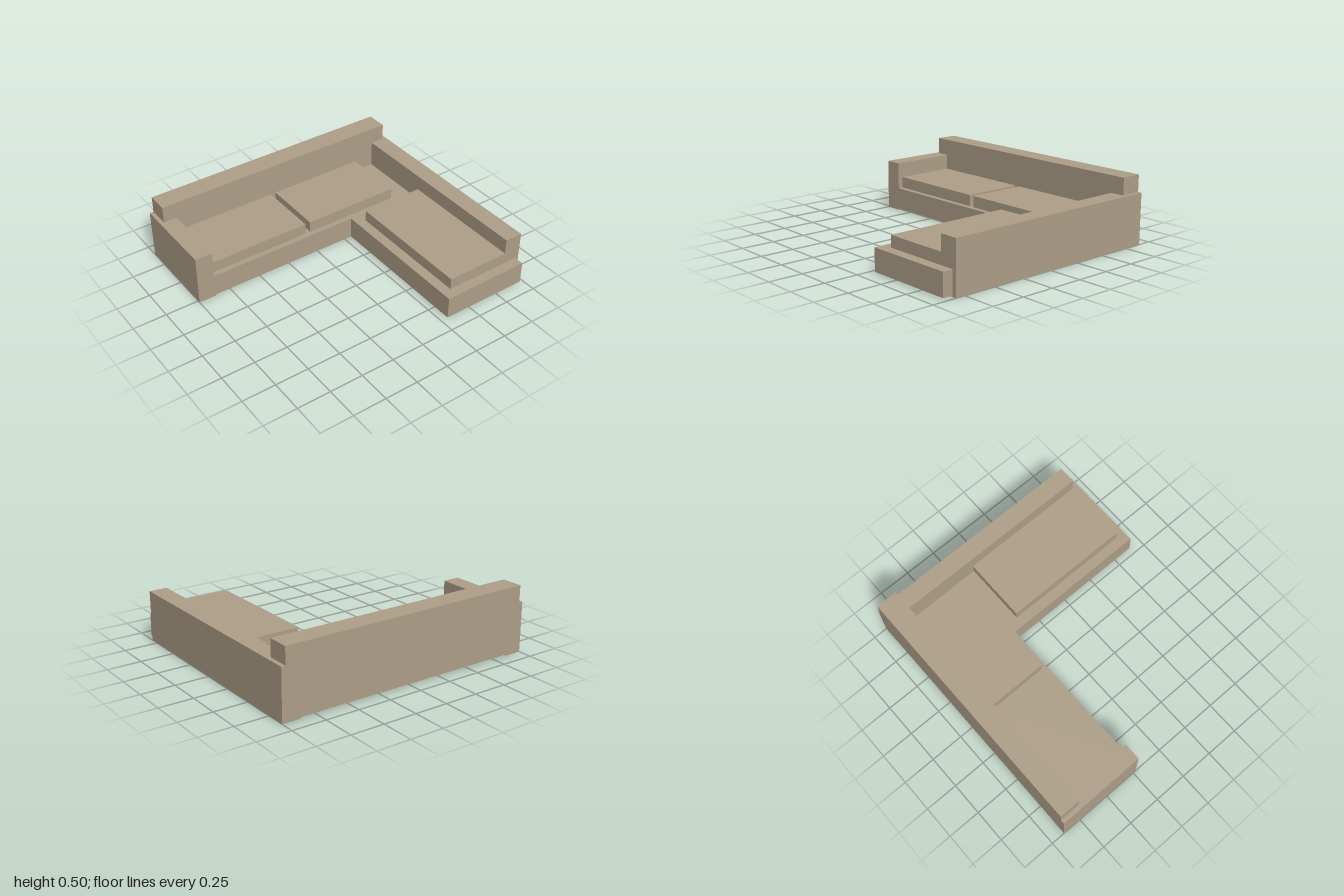
import * as THREE from 'three';

export function createModel() {
  const sofa = new THREE.Group();
  sofa.name = 'cornerSofa';
  const fabric = new THREE.MeshStandardMaterial({ color: 0xae9f88 });
  fabric.name = 'beige fabric';

  // Box given by its extents along each axis
  function block(name, [x0, x1], [y0, y1], [z0, z1]) {
    const mesh = new THREE.Mesh(new THREE.BoxGeometry(x1 - x0, y1 - y0, z1 - z0), fabric);
    mesh.position.set((x0 + x1) / 2, (y0 + y1) / 2, (z0 + z1) / 2);
    mesh.name = name;
    sofa.add(mesh);
  }

  const floorGap = 0.01, seatY = 0.175, cushionY = 0.26, armY = 0.375, backY = 0.5;
  const rear = -0.895, backFront = -0.735, seatFront = -0.23;

  // L-shaped base, outlined in plan as (x, -z) and raised upwards
  const plan = new THREE.Shape([
    [-0.97, -rear], [-0.97, -seatFront], [0.3, -seatFront],
    [0.3, -0.895], [0.97, -0.895], [0.97, -rear],
  ].map(([x, y]) => new THREE.Vector2(x, y)));
  const baseGeometry = new THREE.ExtrudeGeometry(plan, { depth: seatY - floorGap, bevelEnabled: false });
  baseGeometry.rotateX(-Math.PI / 2);
  const base = new THREE.Mesh(baseGeometry, fabric);
  base.position.y = floorGap;
  base.name = 'base';
  sofa.add(base);

  // Backrest along the rear
  block('backrest', [-0.97, 0.97], [seatY, backY], [rear, backFront]);

  // Arms, the left one running along the chaise
  block('rightArm', [-1, -0.87], [0, armY], [rear, seatFront]);
  block('leftArm', [0.865, 1], [0, armY], [rear, 0.82]);

  // Seat cushions
  block('rightSeatCushion', [-0.87, -0.08], [seatY, cushionY], [backFront, -0.27]);
  block('middleSeatCushion', [-0.04, 0.705], [seatY, cushionY], [backFront, -0.27]);
  block('chaiseCushion', [0.375, 0.865], [seatY, cushionY], [-0.15, 0.82]);

  return sofa;
}
